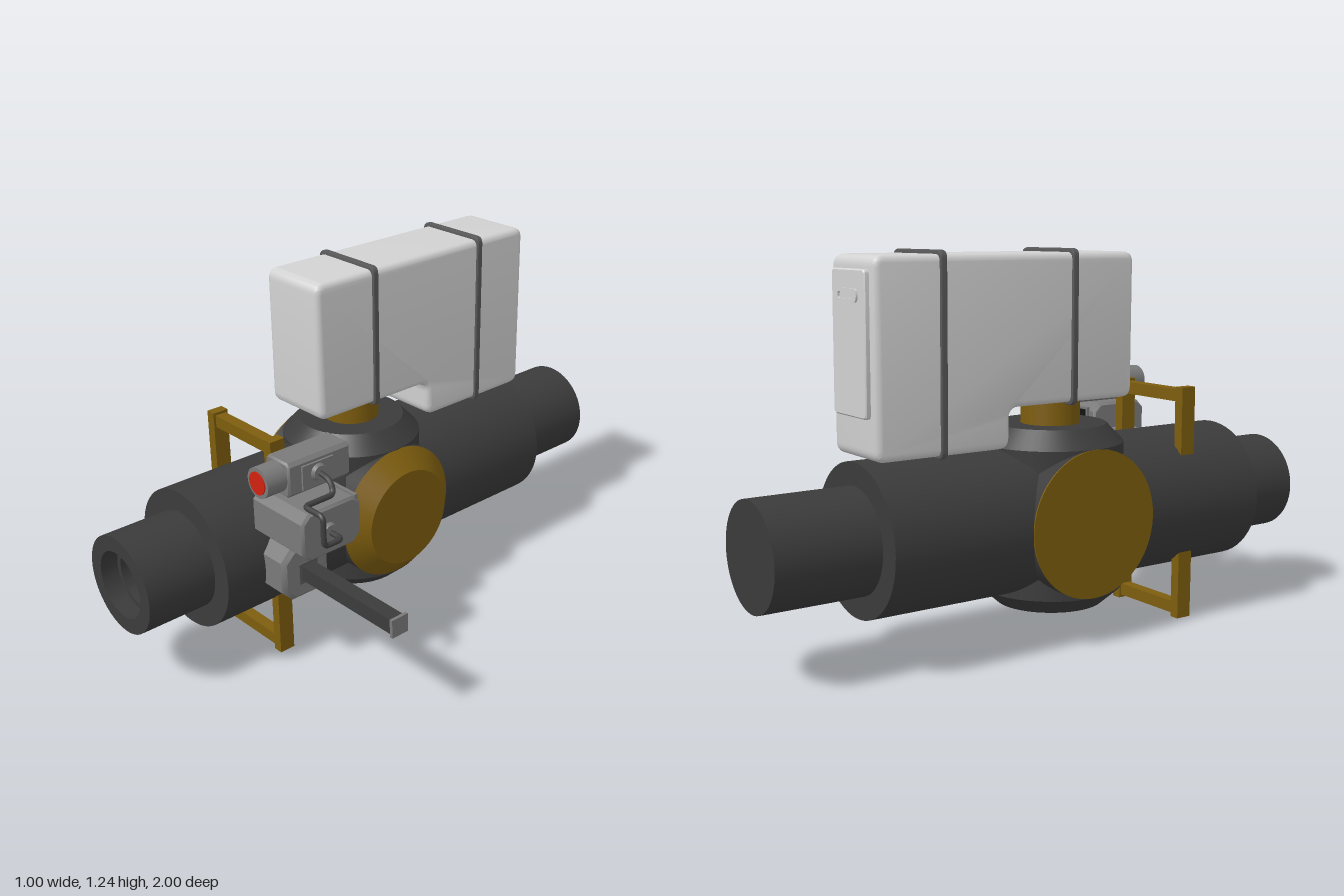
import * as THREE from 'three';
import { toCreasedNormals } from 'three/addons/utils/BufferGeometryUtils.js';

const mat = (name, color, side = THREE.FrontSide) => {
  const m = new THREE.MeshStandardMaterial({ color, side });
  m.name = name;
  return m;
};

export function createModel() {
  const root = new THREE.Group();
  root.name = 'pipeValveAssembly';

  const dark = mat('darkSteel', 0x3b3b3b);
  const yellow = mat('ochrePaint', 0x7d5d0e);
  const white = mat('paleTank', 0xd2d2d2);
  const grey = mat('greyCasing', 0x7a7a7a);
  const strapGrey = mat('strapGrey', 0x585858);
  const cableDark = mat('cableDark', 0x404040);
  const black = mat('blackScreen', 0x141414);
  const red = mat('redLens', 0xd02210);

  const CX = -0.264, CY = 0.394, DZ = 0.05, R = 0.236;

  const add = (name, geo, material, x = 0, y = 0, z = 0) => {
    const m = new THREE.Mesh(geo, material);
    m.name = name;
    m.position.set(x, y, z);
    root.add(m);
    return m;
  };
  // Box given by its min and max on each axis
  const box = (name, material, x0, x1, y0, y1, z0, z1) =>
    add(name, new THREE.BoxGeometry(x1 - x0, y1 - y0, z1 - z0), material,
      (x0 + x1) / 2, (y0 + y1) / 2, (z0 + z1) / 2);
  // Cylinder along an axis; rTop lies at the positive end
  const cyl = (name, material, axis, rTop, rBottom, a, b, p, q) => {
    const g = new THREE.CylinderGeometry(rTop, rBottom, b - a, 56);
    const m = (a + b) / 2;
    if (axis === 'x') return add(name, g.rotateZ(-Math.PI / 2), material, m, p, q);
    if (axis === 'z') return add(name, g.rotateX(Math.PI / 2), material, p, q, m);
    return add(name, g, material, p, m, q);
  };
  // Polygon with rounded (or, with steps = 1, chamfered) corners
  const softPolygon = (pts, r, steps = 6) => {
    const v = pts.map(p => new THREE.Vector2(...p)), out = [];
    v.forEach((p, i) => {
      const a = v[(i + v.length - 1) % v.length], b = v[(i + 1) % v.length];
      const s = p.clone().add(a.clone().sub(p).setLength(r));
      const e = p.clone().add(b.clone().sub(p).setLength(r));
      out.push(...new THREE.QuadraticBezierCurve(s, p, e).getPoints(steps));
    });
    return new THREE.Shape(out);
  };
  const rect = (a0, a1, b0, b1) => [[a0, b0], [a1, b0], [a1, b1], [a0, b1]];
  const extrude = (shape, depth, bevel, segs) => {
    const g = new THREE.ExtrudeGeometry(shape, {
      depth: depth - 2 * bevel, bevelEnabled: bevel > 0, bevelSize: bevel,
      bevelThickness: bevel, bevelOffset: -bevel, bevelSegments: segs, curveSegments: 12,
    });
    return toCreasedNormals(g.translate(0, 0, bevel - depth / 2), 0.55);
  };
  // Profile drawn in (z, y), extruded across x0..x1
  const acrossX = (name, material, shape, x0, x1, bevel, segs = 1) =>
    add(name, extrude(shape, x1 - x0, bevel, segs).rotateY(-Math.PI / 2), material, (x0 + x1) / 2);

  // Main pipe: sleeve plus narrow pipe with a recessed bore at the front
  cyl('mainSleeve', dark, 'z', R, R, -0.665, 0.76, CX, CY);
  const pipeProfile = [[0, -1], [0.165, -1], [0.165, 1], [0.113, 1], [0.113, 0.94], [0.094, 0.94],
    [0.094, 0.88], [0, 0.88]].map(p => new THREE.Vector2(...p));
  const pipeGeo = toCreasedNormals(new THREE.LatheGeometry(pipeProfile, 56), 0.5);
  add('innerPipe', pipeGeo.rotateX(Math.PI / 2), dark, CX, CY, 0);

  // Cross drums with chamfered ends
  cyl('valveDrum', dark, 'y', R, R, 0.158, 0.63, CX, DZ);
  cyl('drumTopChamfer', dark, 'y', 0.18, R, 0.63, 0.688, CX, DZ);
  cyl('drumBottomChamfer', dark, 'y', R, 0.175, 0.104, 0.158, CX, DZ);
  cyl('sideDrum', dark, 'x', R, R, -0.497, -0.03, CY, DZ);
  cyl('leftCap', yellow, 'x', 0.17, R, -0.03, 0.03, CY, DZ);
  cyl('rightCapDisc', yellow, 'x', R, R, -0.502, -0.497, CY, DZ);
  cyl('tankPost', yellow, 'y', 0.096, 0.096, 0.685, 0.78, CX, DZ);

  // Stepped tank with straps and an end panel
  const tankOutline = softPolygon([[0.285, 0.765], [0.285, 1.23], [-0.66, 1.23], [-0.66, 0.64],
    [-0.195, 0.64], [-0.195, 0.765]].reverse(), 0.035);
  acrossX('tank', white, tankOutline, CX - 0.128, CX + 0.128, 0.02, 3);
  for (const [z, bottom] of [[0.045, 0.755], [-0.435, 0.632]]) {
    const s = softPolygon(rect(-0.137, 0.137, bottom, 1.242), 0.025);
    add('tankStrap', extrude(s, 0.022, 0.005, 2), strapGrey, CX, 0, z);
  }
  add('tankEndPanel', extrude(softPolygon(rect(-0.097, 0.097, 0.765, 1.19), 0.015), 0.03, 0.004, 1),
    white, CX, 0, -0.661);
  const slotRing = softPolygon(rect(-0.06, 0.06, 1.095, 1.135), 0.0195);
  slotRing.holes.push(softPolygon(rect(-0.05, 0.05, 1.105, 1.125), 0.0095));
  add('panelSlotRim', extrude(slotRing, 0.008, 0, 1), white, CX, 0, -0.678);

  // Carrying frame through the sleeve
  for (const s of [-1, 1]) {
    const x = CX + s * 0.151;
    box('frameUpright', yellow, x - 0.017, x + 0.017, 0, 0.785, 0.467, 0.523);
  }
  box('frameTopBar', yellow, CX - 0.14, CX + 0.14, 0.735, 0.776, 0.475, 0.515);
  box('frameBottomBar', yellow, CX - 0.14, CX + 0.14, 0.01, 0.051, 0.475, 0.515);

  // Arm bracket
  box('mountPlate', grey, -0.1, -0.03, 0.42, 0.6, 0.476, 0.577);
  acrossX('armBracket', grey, softPolygon(rect(0.432, 0.615, 0.303, 0.49), 0.04, 1), -0.06, 0.066, 0.014);
  box('armCollar', strapGrey, 0.06, 0.071, 0.358, 0.43, 0.484, 0.556);
  box('bracketWindow', yellow, -0.005, 0.03, 0.378, 0.41, 0.428, 0.434);
  box('bracketTopSlot', black, -0.005, 0.03, 0.487, 0.493, 0.49, 0.555);
  box('arm', dark, 0.06, 0.487, 0.37, 0.42, 0.495, 0.545);
  box('armEndCap', grey, 0.485, 0.496, 0.364, 0.426, 0.489, 0.551);

  // Control box with a screen at the back
  acrossX('controlBox', grey, softPolygon(rect(0.42, 0.648, 0.53, 0.69), 0.028, 1), -0.034, 0.213, 0.008);
  box('screenFrame', grey, -0.005, 0.185, 0.545, 0.675, 0.41, 0.422);
  box('screen', black, 0.003, 0.177, 0.553, 0.667, 0.405, 0.411);
  cyl('boxConnector', grey, 'x', 0.024, 0.03, 0.21, 0.226, 0.61, 0.55);

  // Camera with red lens
  add('cameraBody', extrude(softPolygon(rect(-0.007, 0.105, 0.695, 0.81), 0.012, 1), 0.24, 0.006, 1),
    grey, 0, 0, 0.488);
  cyl('lensBarrel', grey, 'z', 0.05, 0.05, 0.6, 0.68, 0.048, 0.755);
  cyl('lens', red, 'z', 0.037, 0.037, 0.678, 0.684, 0.048, 0.755);
  box('cameraSidePlate', grey, 0.1, 0.112, 0.71, 0.79, 0.44, 0.56);
  cyl('cameraConnector', grey, 'x', 0.022, 0.03, 0.11, 0.122, 0.755, 0.5);

  // Cable with rounded bends from camera to control box
  const knots = [[0.115, 0.755, 0.5], [0.165, 0.748, 0.5], [0.19, 0.71, 0.505], [0.19, 0.71, 0.62],
    [0.277, 0.71, 0.62], [0.277, 0.61, 0.62], [0.277, 0.61, 0.55], [0.215, 0.61, 0.55]]
    .map(p => new THREE.Vector3(...p));
  const path = new THREE.CurvePath();
  let last = knots[0];
  for (let i = 1; i < knots.length - 1; i++) {
    const k = knots[i];
    const a = k.clone().add(knots[i - 1].clone().sub(k).setLength(0.02));
    const b = k.clone().add(knots[i + 1].clone().sub(k).setLength(0.02));
    path.add(new THREE.LineCurve3(last, a));
    path.add(new THREE.QuadraticBezierCurve3(a, k, b));
    last = b;
  }
  path.add(new THREE.LineCurve3(last, knots[knots.length - 1]));
  add('cable', new THREE.TubeGeometry(path, 120, 0.009, 10), cableDark);

  return root;
}
